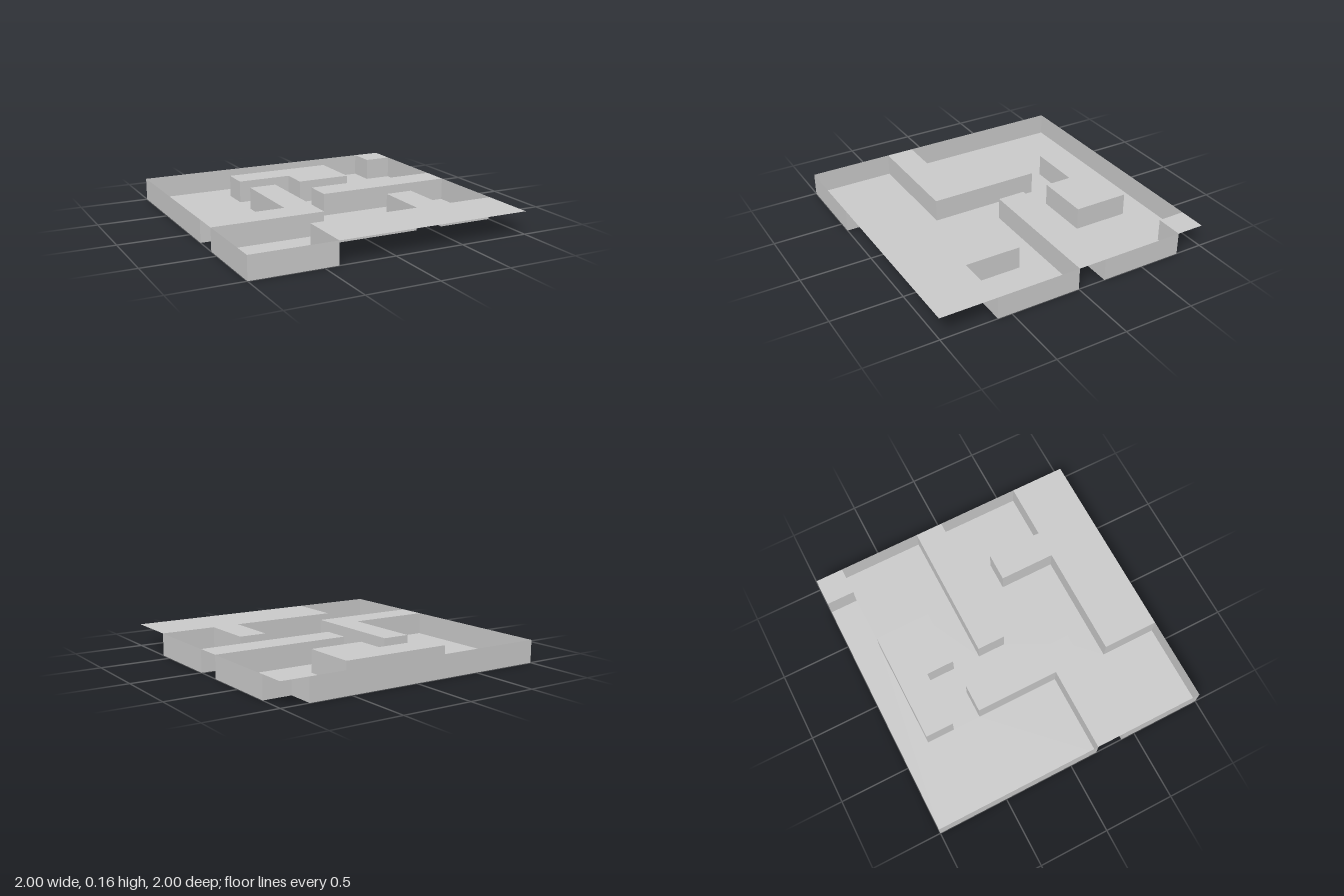
import * as THREE from 'three';

const HEIGHT = 0.16;
const material = new THREE.MeshStandardMaterial({ color: 0xcccccc, flatShading: true, side: THREE.DoubleSide });

// Plan outlines as [x, z] corners
const floorOutline = [
  [-1, -1], [0.8, -1], [0.8, -0.8], [1, -0.8], [1, -0.2], [0, -0.2], [0, 0], [1, 0],
  [1, 0.6], [0.6, 0.6], [0.6, 0.2], [0.4, 0.2], [0.4, 0.6], [-0.4, 0.6], [-0.4, 1], [-1, 1],
  [-1, 0.4], [-0.2, 0.4], [-0.2, -0.4], [-0.4, -0.4], [-0.4, 0.2], [-1, 0.2],
];
const islandOutline = [[-0.4, -0.8], [-0.4, -0.6], [0, -0.6], [0, -0.4], [0.4, -0.4], [0.4, -0.8]];
const wallTops = {
  islandTop: islandOutline,
  cornerTop: [[0.8, -1], [1, -1], [1, -0.8], [0.8, -0.8]],
  barrierTop: [[0, -0.2], [1, -0.2], [1, 0], [0, 0]],
  bentWallTop: [[-1, 0.2], [-0.4, 0.2], [-0.4, -0.4], [-0.2, -0.4], [-0.2, 0.4], [-1, 0.4]],
  frontBlockTop: [[-0.4, 0.6], [0.4, 0.6], [0.4, 0.2], [0.6, 0.2], [0.6, 0.6], [1, 0.6], [1, 1], [-0.4, 1]],
};

const toPoints = (outline) => outline.map(([x, z]) => new THREE.Vector2(x, -z));

// Flat upward-facing sheet at height y
function sheet(name, outline, y, holes = []) {
  const shape = new THREE.Shape(toPoints(outline));
  shape.holes = holes.map((h) => new THREE.Path(toPoints(h)));
  const geometry = new THREE.ShapeGeometry(shape).rotateX(-Math.PI / 2).translate(0, y, 0);
  const mesh = new THREE.Mesh(geometry, material);
  mesh.name = name;
  return mesh;
}

// Upright wall along every edge of an outline, facing the floor
function walls(name, outline) {
  const positions = [];
  outline.forEach(([ax, az], i) => {
    const [bx, bz] = outline[(i + 1) % outline.length];
    positions.push(ax, 0, az, bx, 0, bz, bx, HEIGHT, bz);
    positions.push(ax, 0, az, bx, HEIGHT, bz, ax, HEIGHT, az);
  });
  const geometry = new THREE.BufferGeometry();
  geometry.setAttribute('position', new THREE.Float32BufferAttribute(positions, 3));
  geometry.computeVertexNormals();
  const mesh = new THREE.Mesh(geometry, material);
  mesh.name = name;
  return mesh;
}

export function createModel() {
  const group = new THREE.Group();
  group.name = 'mazeFloorTile';
  group.add(sheet('floor', floorOutline, 0, [islandOutline]));
  group.add(walls('roomWalls', floorOutline), walls('islandWalls', islandOutline));
  for (const [name, outline] of Object.entries(wallTops)) group.add(sheet(name, outline, HEIGHT));
  return group;
}
